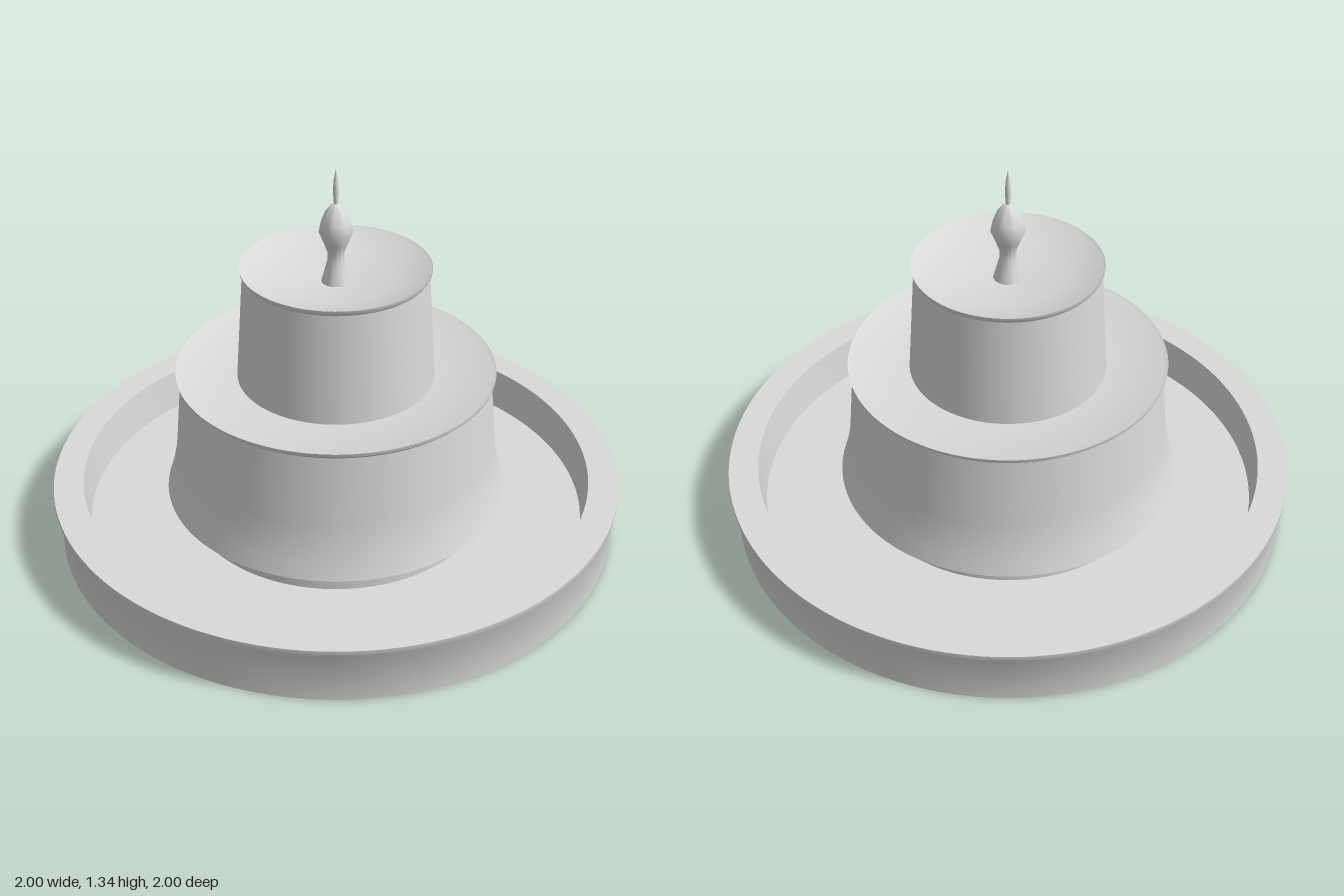
import * as THREE from 'three';
import { toCreasedNormals } from 'three/addons/utils/BufferGeometryUtils.js';

const stone = new THREE.MeshStandardMaterial({ color: 0xd9d9d9 });
stone.name = 'grey stone';

// Turned part from a profile of [radius, height], listed bottom to top along the outside
function turned(name, profile, segments, crease) {
  const points = profile.map(([r, y]) => new THREE.Vector2(r, y));
  const geometry = toCreasedNormals(new THREE.LatheGeometry(points, segments), crease);
  const mesh = new THREE.Mesh(geometry, stone);
  mesh.name = name;
  return mesh;
}

export function createModel() {
  const model = new THREE.Group();
  model.name = 'tieredFountain';

  // Wide basin: closed underside, small overhanging rim, deep flat floor
  model.add(turned('basin', [
    [0, 0], [0.983, 0], [0.983, 0.165], [1, 0.19], [1, 0.21],
    [0.896, 0.21], [0.88, 0.06], [0, 0.06],
  ], 128, 0.8));

  // Lower tier: undercut foot, flared wall, thin lip, dished top
  model.add(turned('lowerTier', [
    [0.53, 0.06], [0.53, 0.15], [0.602, 0.15], [0.583, 0.21], [0.566, 0.29],
    [0.56, 0.34], [0.537, 0.59], [0.549, 0.602], [0.552, 0.614], [0.54, 0.609],
    [0.34, 0.588], [0, 0.585],
  ], 96, 0.45));

  // Upper tier: tapered drum with a lip and a dished top
  model.add(turned('upperTier', [
    [0.341, 0.585], [0.313, 0.975], [0.32, 0.985], [0.322, 0.996],
    [0.312, 0.99], [0.2, 0.96], [0.05, 0.94], [0, 0.94],
  ], 96, 0.45));

  // Finial: waisted stem, bulb and slim spike
  model.add(turned('finial', [
    [0.05, 0.938], [0.037, 0.985], [0.028, 1.02], [0.028, 1.045], [0.04, 1.08],
    [0.057, 1.12], [0.05, 1.155], [0.036, 1.19], [0.018, 1.213], [0.007, 1.22],
    [0.01, 1.26], [0.008, 1.3], [0, 1.343],
  ], 32, 0.8));

  return model;
}
